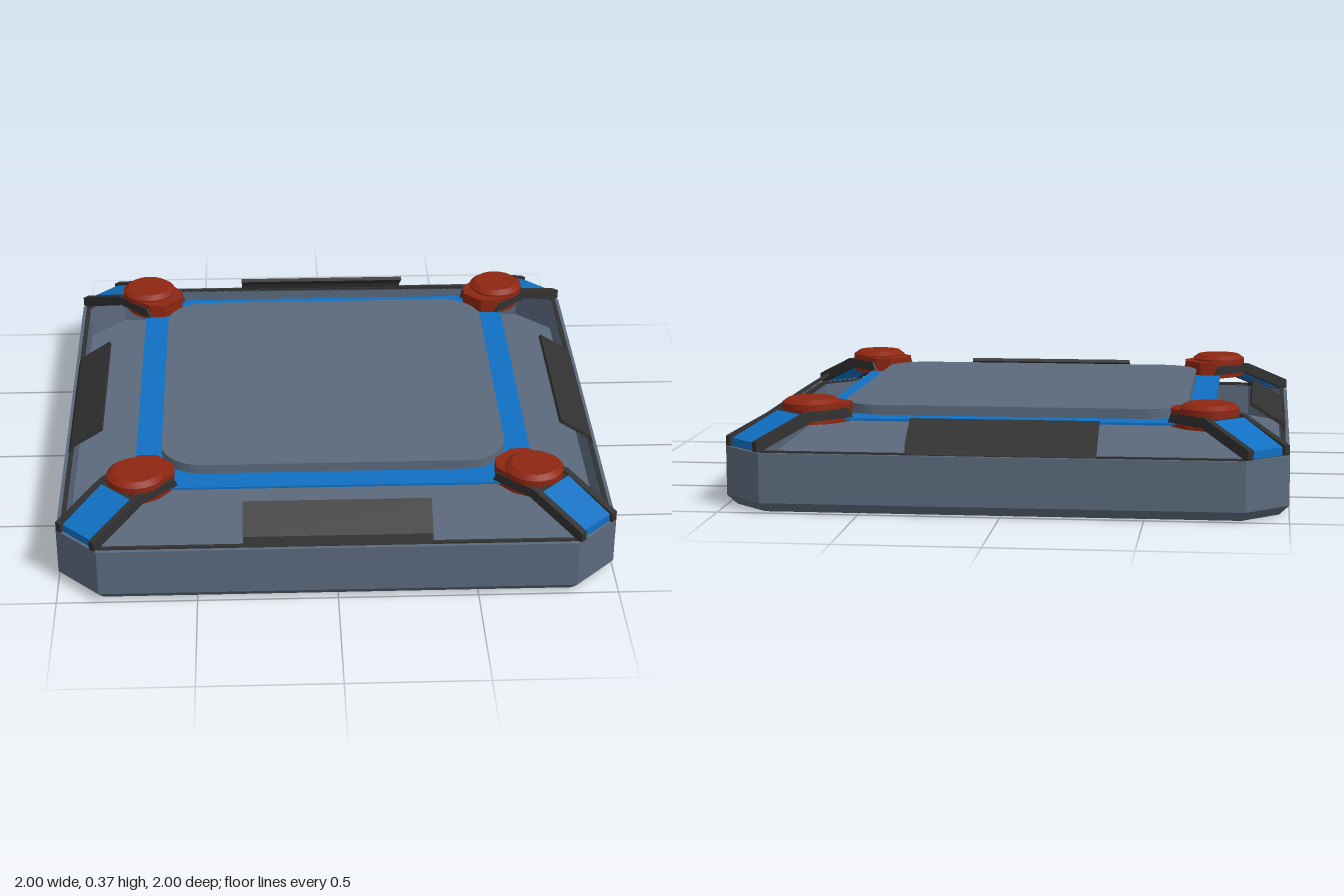
import * as THREE from 'three';

const mat = (name, color, side = THREE.FrontSide) => {
  const m = new THREE.MeshStandardMaterial({ color, side });
  m.name = name;
  return m;
};

// Octagon corners (x, z) of the base, inset evenly by d
function octagon(d) {
  const h = 1 - d, a = 0.85 - 0.414 * d;
  return [[h, a], [a, h], [-a, h], [-h, a], [-h, -a], [-a, -h], [a, -h], [h, -a]];
}

// Loft of octagons through [inset, y] steps, optionally capped at both ends
function octagonLoft(steps, capped) {
  const pos = [];
  const rings = steps.map(([d, y]) => octagon(d).map(([x, z]) => [x, y, z]));
  const tri = (...pts) => pts.forEach((p) => pos.push(...p));
  for (let r = 0; r < rings.length - 1; r++) {
    for (let i = 0; i < 8; i++) {
      const j = (i + 1) % 8;
      const a = rings[r][i], b = rings[r][j], c = rings[r + 1][j], d = rings[r + 1][i];
      tri(a, c, b);
      tri(a, d, c);
    }
  }
  if (capped) {
    const first = rings[0], last = rings[rings.length - 1];
    for (let i = 0; i < 8; i++) {
      const j = (i + 1) % 8;
      tri([0, first[0][1], 0], first[i], first[j]);
      tri([0, last[0][1], 0], last[j], last[i]);
    }
  }
  const g = new THREE.BufferGeometry();
  g.setAttribute('position', new THREE.Float32BufferAttribute(pos, 3));
  g.computeVertexNormals();
  return g;
}

// Bent strip: profile of [outward, y] points, thickened downwards, centred on z
function strip(profile, width, thickness, z = 0) {
  const under = profile.map(([s, y]) => [s - thickness * 0.5, y - thickness]).reverse();
  under[under.length - 1] = [profile[0][0] - thickness, profile[0][1]];
  const shape = new THREE.Shape([...profile, ...under].map(([s, y]) => new THREE.Vector2(s, y)));
  return new THREE.ExtrudeGeometry(shape, { depth: width, bevelEnabled: false })
    .translate(0, 0, z - width / 2);
}

function roundedSquare(Type, h, r) {
  const s = new Type();
  s.absarc(h - r, h - r, r, 0, Math.PI / 2);
  s.absarc(-h + r, h - r, r, Math.PI / 2, Math.PI);
  s.absarc(-h + r, -h + r, r, Math.PI, Math.PI * 1.5);
  s.absarc(h - r, -h + r, r, Math.PI * 1.5, Math.PI * 2);
  s.closePath();
  return s;
}

// Horizontal slab from a shape, between y and y + height
function slab(shape, y, height) {
  return new THREE.ExtrudeGeometry(shape, { depth: height, bevelEnabled: false, curveSegments: 8 })
    .rotateX(-Math.PI / 2).translate(0, y, 0);
}

export function createModel() {
  const slate = mat('slate', 0x5b6a7d);
  const charcoal = mat('charcoal', 0x313131);
  const blue = mat('blue', 0x1070c2);
  const red = mat('red', 0x8e2611);

  const model = new THREE.Group();
  model.name = 'platform';
  const add = (parent, name, geometry, material) => {
    const m = new THREE.Mesh(geometry, material);
    m.name = name;
    parent.add(m);
    return m;
  };

  // Hollow tray with a bevelled foot
  add(model, 'tray', octagonLoft(
    [[0.035, 0], [0, 0.035], [0, 0.212], [0.03, 0.212], [0.03, 0.08]], true), slate);
  // Thin dark seal on the rim
  add(model, 'rimSeal', octagonLoft(
    [[0.014, 0.212], [0.014, 0.218], [0.03, 0.218], [0.03, 0.205]], false), charcoal);

  // Raised deck with its blue border
  const border = new THREE.Shape([[-1, -1], [1, -1], [1, 1], [-1, 1]]
    .map(([x, y]) => new THREE.Vector2(x * 0.725, y * 0.725)));
  border.holes.push(roundedSquare(THREE.Path, 0.6, 0.13));
  add(model, 'deckBorder', slab(border, 0.291, 0.008), blue);
  add(model, 'deck', slab(roundedSquare(THREE.Shape, 0.63, 0.15), 0.291, 0.044), slate);

  // Pad outline in diagonal coordinates
  const pad = new THREE.Shape([[0.866, -0.046], [0.909, -0.09], [1.0, -0.1], [1.09, -0.07],
    [1.09, 0.07], [1.0, 0.1], [0.909, 0.09], [0.866, 0.046]]
    .map(([s, t]) => new THREE.Vector2(s, t)));
  const rail = [[1.312, 0.215], [1.312, 0.25], [1.09, 0.336], [0.92, 0.336]];
  const panel = [[1.3, 0.215], [1.3, 0.244], [1.11, 0.326]];
  const bar = [[0.988, 0.215], [0.976, 0.25], [0.86, 0.324]];

  for (let k = 0; k < 4; k++) {
    // Side flap
    const flap = add(model, 'sideFlap', strip(bar, 0.67, 0.012), charcoal);
    flap.rotation.y = k * Math.PI / 2;

    // Corner arm with rails, blue panel and red knob
    const corner = new THREE.Group();
    corner.name = 'cornerArm';
    corner.rotation.y = Math.PI / 4 + k * Math.PI / 2;
    for (const side of [-1, 1]) {
      add(corner, 'armRail', strip(rail, 0.025, 0.035, side * 0.088), charcoal);
    }
    add(corner, 'armPanel', strip(panel, 0.151, 0.025), blue);
    add(corner, 'armBridge', strip([[1.12, 0.32], [1.08, 0.328], [0.95, 0.328]], 0.151, 0.02), charcoal);
    add(corner, 'knobPad', slab(pad, 0.285, 0.066), red);
    add(corner, 'knob', new THREE.CylinderGeometry(0.105, 0.105, 0.022, 32)
      .translate(1.011, 0.347, 0), red);
    add(corner, 'knobCap', new THREE.CylinderGeometry(0.084, 0.105, 0.015, 32)
      .translate(1.011, 0.3655, 0), red);
    model.add(corner);
  }
  return model;
}
